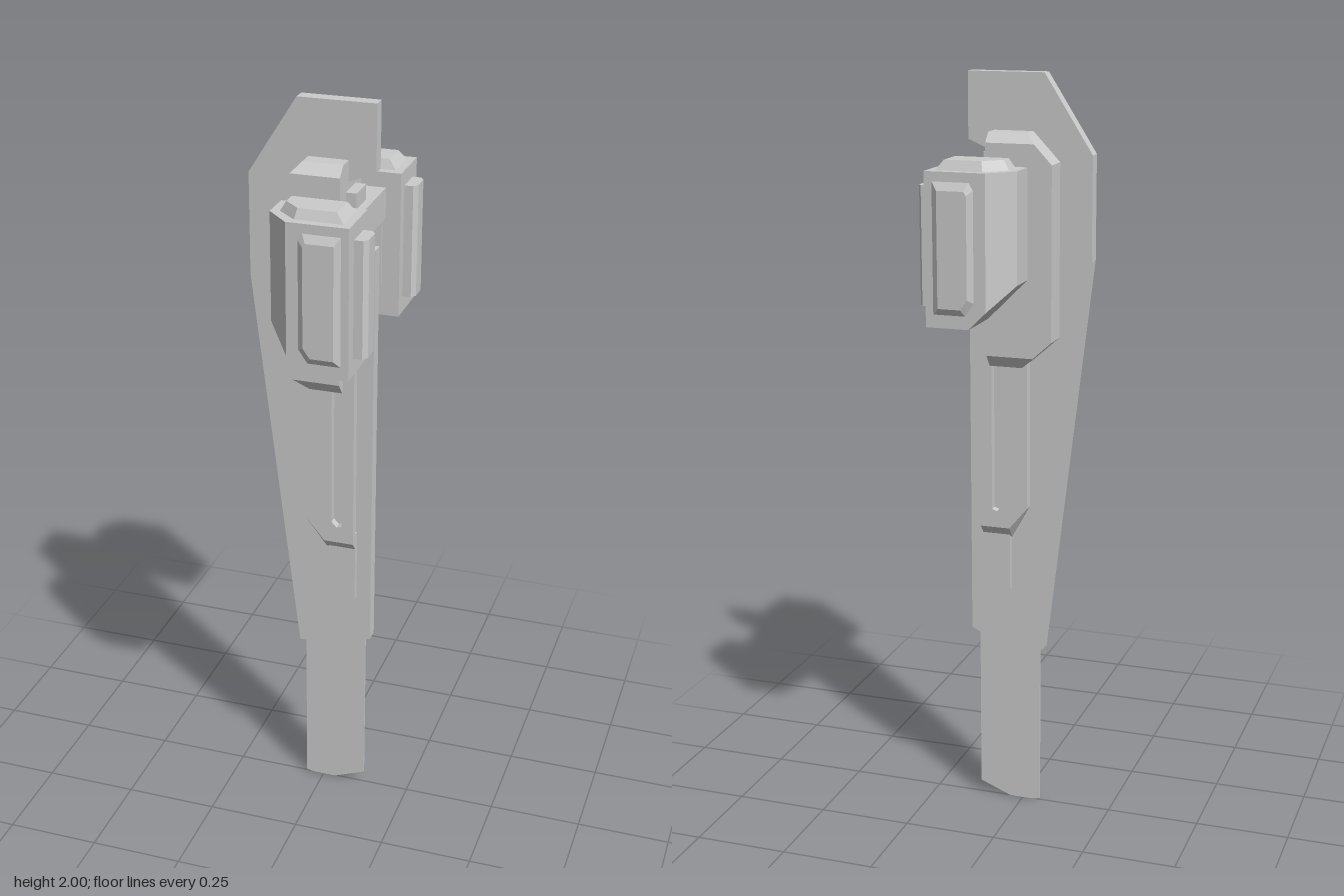
import * as THREE from 'three';
import { ConvexGeometry } from 'three/addons/geometries/ConvexGeometry.js';

const material = new THREE.MeshStandardMaterial({ color: 0xcccccc, flatShading: true });

function add(parent, name, geometry) {
  const mesh = new THREE.Mesh(geometry, material);
  mesh.name = name;
  parent.add(mesh);
  return mesh;
}

// Faceted solid spanning a set of corner points
function hull(points) {
  return new ConvexGeometry(points.map((p) => new THREE.Vector3(...p)));
}

function box(x0, x1, y0, y1, z0, z1) {
  return new THREE.BoxGeometry(x1 - x0, y1 - y0, z1 - z0)
    .translate((x0 + x1) / 2, (y0 + y1) / 2, (z0 + z1) / 2);
}

// Flat outline in x, y extruded from z0 to z1
function slab(outline, z0, z1, hole) {
  const shape = new THREE.Shape(outline.map((p) => new THREE.Vector2(...p)));
  if (hole) shape.holes.push(new THREE.Path(hole.map((p) => new THREE.Vector2(...p))));
  return new THREE.ExtrudeGeometry(shape, { depth: z1 - z0, bevelEnabled: false }).translate(0, 0, z0);
}

function createSidePanel() {
  const geometry = slab(
    [[-0.03, 1.43], [-0.03, 0.87], [0.02, 0.81], [0.1, 0.81], [0.1, 1.43]],
    0.03, 0.055,
    [[0.04, 1.3], [0.068, 1.3], [0.068, 0.86], [0.054, 0.855], [0.04, 0.87]],
  );
  // Flare the lower and upper ends towards the plate
  const pos = geometry.attributes.position;
  for (let i = 0; i < pos.count; i++) {
    if (pos.getZ(i) > 0.04) continue;
    const y = pos.getY(i);
    if (y < 0.82) pos.setY(i, y - 0.03);
    if (y > 1.4) pos.setY(i, y + 0.03);
  }
  geometry.computeVertexNormals();
  return geometry;
}

function createPod() {
  const pod = new THREE.Group();

  // Body with a clipped outer corner and a slanted underside
  const footprint = [[-0.06, 0.143], [0.157, 0.143], [0.157, 0.287], [0, 0.287], [-0.06, 0.225]];
  add(pod, 'podBody', hull([
    ...footprint.map(([x, z]) => [x, 1.78, z]),
    ...footprint.map(([x, z]) => [x, Math.max(1.395, 1.44 - x), z]),
    [0.045, 1.395, 0.143], [0.045, 1.395, 0.287],
  ]));

  // Bevelled cap on top
  add(pod, 'podTopCap', hull([
    ...[[-0.04, 0.163], [0.14, 0.163], [0.14, 0.267], [0.013, 0.267], [-0.04, 0.217]].map(([x, z]) => [x, 1.775, z]),
    ...[[-0.022, 0.175], [0.117, 0.175], [0.117, 0.254], [0.02, 0.254], [-0.022, 0.213]].map(([x, z]) => [x, 1.805, z]),
  ]));

  // Raised bevelled panel on the outer face
  add(pod, 'podOuterPanel', hull([
    ...[[0.028, 1.46], [0.052, 1.425], [0.14, 1.425], [0.14, 1.76], [0.04, 1.76], [0.028, 1.74]].map(([x, y]) => [x, y, 0.285]),
    ...[[0.045, 1.47], [0.063, 1.445], [0.122, 1.445], [0.122, 1.735], [0.052, 1.735], [0.045, 1.725]].map(([x, y]) => [x, y, 0.297]),
  ]));

  // Narrow block on the +x edge
  const block = [];
  for (const y of [1.44, 1.74]) {
    block.push([0.15, y, 0.175], [0.18, y, 0.175], [0.19, y, 0.19],
      [0.19, y, 0.235], [0.18, y, 0.25], [0.15, y, 0.25]);
  }
  add(pod, 'podEdgeBlock', hull(block));

  add(pod, 'podInnerPlate', box(0, 0.11, 1.48, 1.72, 0.137, 0.145));
  return pod;
}

export function createModel() {
  const model = new THREE.Group();
  model.name = 'model';

  // Long tapered plate with a notch for the crossbar
  add(model, 'mainPlate', slab([
    [-0.063, 2], [-0.19, 1.8], [-0.19, 1.53], [-0.063, 0.46], [0.04, 0.46], [0.14, 0.5],
    [0.14, 1.63], [0.07, 1.63], [0.07, 1.8], [0.14, 1.83], [0.14, 2],
  ], -0.018, 0.018));

  // Thin blade at the bottom
  add(model, 'blade', slab(
    [[-0.05, 0.5], [-0.05, 0.005], [-0.03, 0], [0.035, 0], [0.122, 0.035], [0.122, 0.52]],
    -0.003, 0.003,
  ));

  // Upper housing, bevelled at top and bottom
  const housing = [];
  for (const s of [-1, 1]) {
    for (const [x, y] of [[-0.105, 1.33], [-0.105, 1.78], [-0.058, 1.83], [0.07, 1.83], [0.07, 1.285], [-0.055, 1.285]]) {
      housing.push([x, y, 0.088 * s]);
    }
    for (const [x, y] of [[-0.034, 1.855], [0.07, 1.855], [0.07, 1.253], [-0.018, 1.253]]) {
      housing.push([x, y, 0.062 * s]);
    }
  }
  add(model, 'housing', hull(housing));
  add(model, 'crossbarBracket', box(0.05, 0.097, 1.46, 1.78, -0.04, 0.04));

  // Crossbar joining the pods
  add(model, 'crossbar', slab([
    [0.118, 1.74], [0.032, 1.74], [-0.01, 1.7], [-0.01, 1.62], [0.085, 1.62], [0.118, 1.66],
  ], -0.15, 0.15));

  // Parts mirrored on both faces
  for (const side of [1, -1]) {
    const half = new THREE.Group();
    half.name = side > 0 ? 'frontSide' : 'backSide';
    half.scale.z = side;
    add(half, 'slottedPanel', createSidePanel());
    add(half, 'slotFloor', box(0.03, 0.08, 0.84, 1.31, 0.01, 0.034));
    add(half, 'lowerStrip', box(0.025, 0.1, 0.63, 0.83, 0.01, 0.035));
    const pod = createPod();
    pod.name = 'pod';
    half.add(pod);
    model.add(half);
  }
  return model;
}
